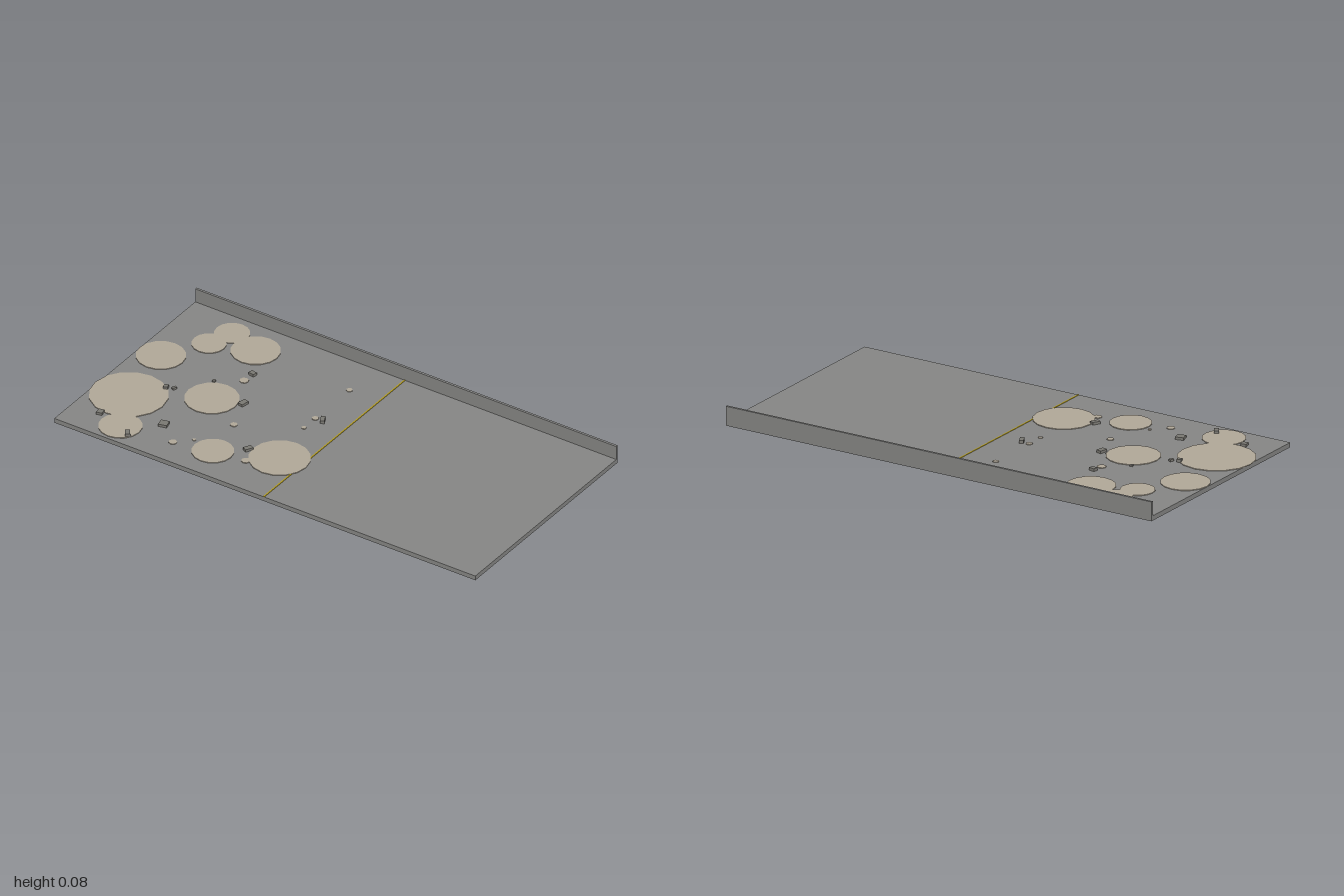
import * as THREE from 'three';

const mat = (name, color) => {
  const m = new THREE.MeshStandardMaterial({ color });
  m.name = name;
  return m;
};

export function createModel() {
  const model = new THREE.Group();
  const concrete = mat('concrete grey', 0x888886);
  const rubble = mat('rubble grey', 0x7c7a74);
  const sand = mat('sand beige', 0xb3aa9a);
  const paint = mat('line yellow', 0xb8a020);

  const add = (name, geometry, material, x, y, z, turn = 0) => {
    const mesh = new THREE.Mesh(geometry, material);
    mesh.name = name;
    mesh.position.set(x, y, z);
    mesh.rotation.y = turn;
    model.add(mesh);
    return mesh;
  };

  // Floor slab, rear kerb and dividing line
  add('floorSlab', new THREE.BoxGeometry(1.99, 0.02, 1), concrete, 0.005, 0.01, 0);
  add('rearKerb', new THREE.BoxGeometry(1.99, 0.078, 0.01), concrete, 0.005, 0.042, -0.495);
  add('dividingLine', new THREE.BoxGeometry(0.006, 0.002, 0.99), paint, 0, 0.021, 0.005);

  // Flat sand patches and small spots: x, z, radius
  const patches = [
    [-0.745, -0.385, 0.072], [-0.78, -0.275, 0.07], [-0.6, -0.335, 0.1],
    [-0.89, -0.1, 0.1], [-0.555, 0.04, 0.11], [-0.84, 0.2, 0.158],
    [-0.745, 0.4, 0.088], [-0.345, 0.345, 0.085], [-0.1, 0.24, 0.124],
    [-0.14, -0.31, 0.013], [-0.52, -0.135, 0.019], [-0.14, -0.07, 0.014],
    [-0.14, 0.01, 0.01], [-0.38, 0.145, 0.015], [-0.45, 0.32, 0.008],
    [-0.51, 0.38, 0.017], [-0.2, 0.33, 0.018],
  ];
  patches.forEach(([x, z, r], i) => {
    const sides = r > 0.03 ? 16 : 8;
    add('sandPatch' + (i + 1), new THREE.CylinderGeometry(r, r, 0.003, sides), sand, x, 0.0215, z);
  });

  // Loose rubble blocks: x, z, width, depth, height, turn
  const blocks = [
    [-0.515, -0.187, 0.026, 0.02, 0.012, -0.2], [-0.43, 0.005, 0.024, 0.036, 0.011, -0.2],
    [-0.105, -0.07, 0.018, 0.036, 0.013, 0.45], [-0.615, -0.065, 0.012, 0.014, 0.006, 0.2],
    [-0.745, 0.08, 0.018, 0.02, 0.012, 0.3], [-0.715, 0.067, 0.012, 0.018, 0.009, -0.4],
    [-0.607, 0.3, 0.036, 0.034, 0.011, 0.25], [-0.86, 0.37, 0.024, 0.027, 0.011, 0.2],
    [-0.687, 0.435, 0.02, 0.034, 0.013, 0.6], [-0.235, 0.26, 0.022, 0.035, 0.011, -0.5],
  ];
  blocks.forEach(([x, z, w, d, h, turn], i) =>
    add('rubbleBlock' + (i + 1), new THREE.BoxGeometry(w, h, d), rubble, x, 0.021 + h / 2, z, turn));

  return model;
}
